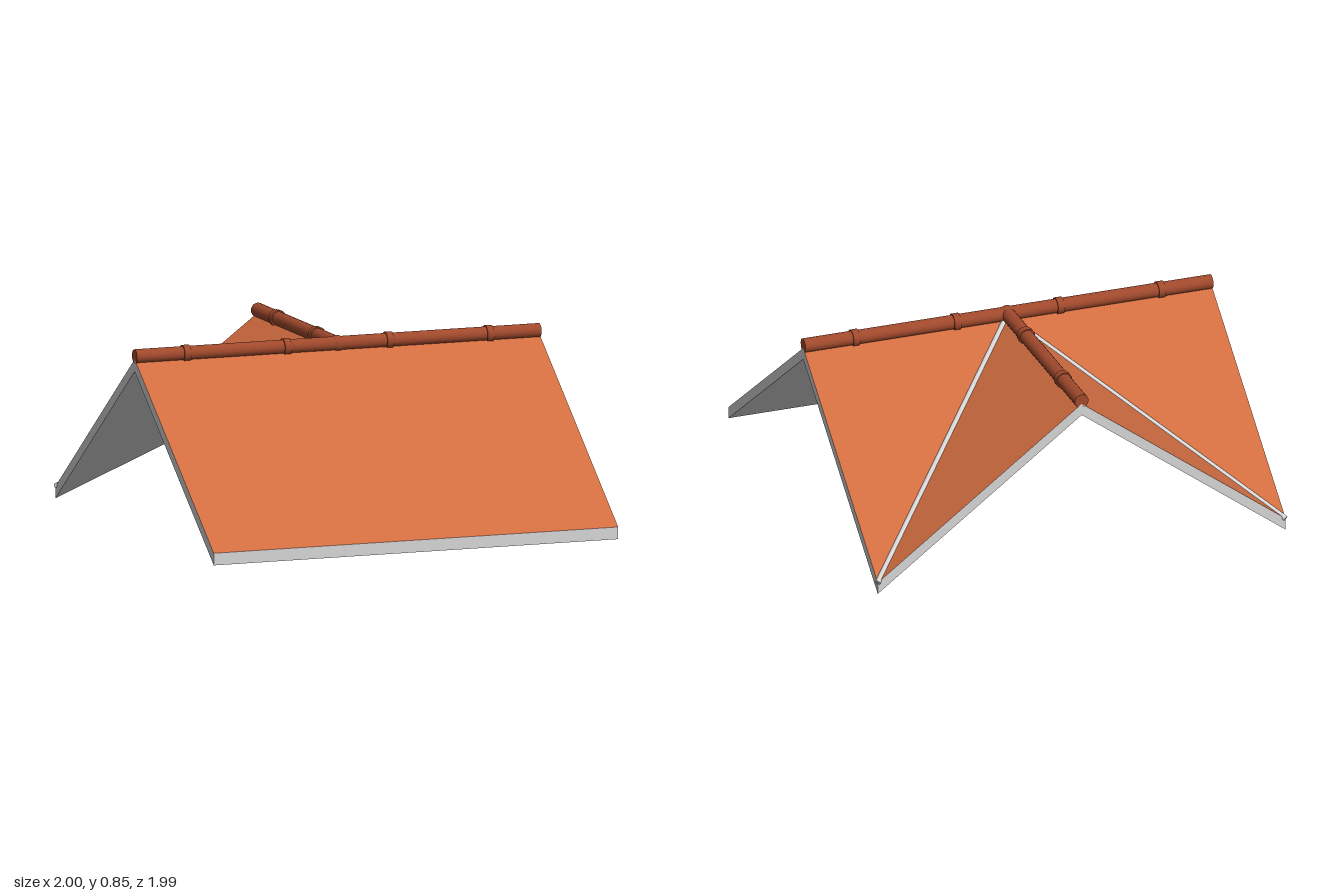
import * as THREE from 'three';

const H = 0.988;                    // half width and depth of the roof
const RIDGE = 0.8, EAVE = 0.06;     // heights of the top surface
const DROP = 0.056;                 // vertical thickness of the slabs

export function createModel() {
  const group = new THREE.Group();
  const tile = new THREE.MeshStandardMaterial({ color: 0xd06c40 });
  tile.name = 'terracotta tile';
  const slab = new THREE.MeshStandardMaterial({ color: 0xd4d4d4 });
  slab.name = 'light grey slab';
  const ridge = new THREE.MeshStandardMaterial({ color: 0xa0492c });
  ridge.name = 'dark terracotta ridge';

  const V = (x, y, z) => new THREE.Vector3(x, y, z);
  const add = (name, geo, mat, parent = group) => {
    const mesh = new THREE.Mesh(geo, mat);
    mesh.name = name;
    parent.add(mesh);
    return mesh;
  };

  // Roof plane: tiled top, grey underside and grey walls along its outer edges
  function roofPlane(name, top, outerEdges) {
    const n = top.length, pos = [];
    const tri = (...pts) => pts.forEach(p => pos.push(p.x, p.y, p.z));
    const low = top.map(p => V(p.x, p.y - DROP, p.z));
    for (let i = 1; i < n - 1; i++) tri(top[0], top[i], top[i + 1]);
    const topCount = pos.length / 3;
    for (let i = 1; i < n - 1; i++) tri(low[0], low[i + 1], low[i]);
    for (const i of outerEdges) {
      const j = (i + 1) % n;
      tri(top[i], low[i], low[j]);
      tri(top[i], low[j], top[j]);
    }
    const geo = new THREE.BufferGeometry();
    geo.setAttribute('position', new THREE.Float32BufferAttribute(pos, 3));
    geo.computeVertexNormals();
    geo.addGroup(0, topCount, 0);
    geo.addGroup(topCount, pos.length / 3 - topCount, 1);
    add(name, geo, [tile, slab]);
  }

  // Round bar between two points
  function bar(name, a, b, radius, mat, parent) {
    const dir = b.clone().sub(a);
    const mesh = add(name, new THREE.CylinderGeometry(radius, radius, dir.length(), 20), mat, parent);
    mesh.position.copy(a).lerp(b, 0.5);
    mesh.quaternion.setFromUnitVectors(V(0, 1, 0), dir.normalize());
  }

  // Front slope
  roofPlane('frontSlope',
    [V(-H, EAVE, H), V(H, EAVE, H), V(H, RIDGE, 0), V(-H, RIDGE, 0)], [0, 1, 3]);

  // Back: half of the main slope and of the cross gable on either side of each valley
  const peak = V(0, RIDGE, 0), gable = V(0, RIDGE, -H);
  for (const [side, s] of [['left', 1], ['right', -1]]) {
    const end = V(s * H, RIDGE, 0), corner = V(s * H, EAVE, -H);
    const left = s > 0;
    roofPlane(side + 'BackSlope', left ? [peak, end, corner] : [peak, corner, end], [1]);
    roofPlane(side + 'GableSlope', left ? [peak, corner, gable] : [peak, gable, corner], [1]);
    bar(side + 'Valley', peak, corner, 0.013, slab);
  }

  // Ridge caps with collars
  const y = 0.813, caps = new THREE.Group();
  caps.name = 'ridgeCaps';
  group.add(caps);
  bar('mainRidge', V(-H, y, 0), V(H, y, 0), 0.033, ridge, caps);
  bar('crossRidge', V(0, y, 0), V(0, y, -H), 0.033, ridge, caps);
  for (const d of [0.25, 0.74]) {
    for (const s of [-1, 1])
      bar('ridgeCollar', V(s * d - 0.016, y, 0), V(s * d + 0.016, y, 0), 0.039, ridge, caps);
    bar('ridgeCollar', V(0, y, 0.016 - d), V(0, y, -0.016 - d), 0.039, ridge, caps);
  }
  add('ridgeJoint', new THREE.SphereGeometry(0.038, 20, 14), ridge, caps).position.set(0, y, 0);

  group.position.z = 0.004;
  return group;
}
